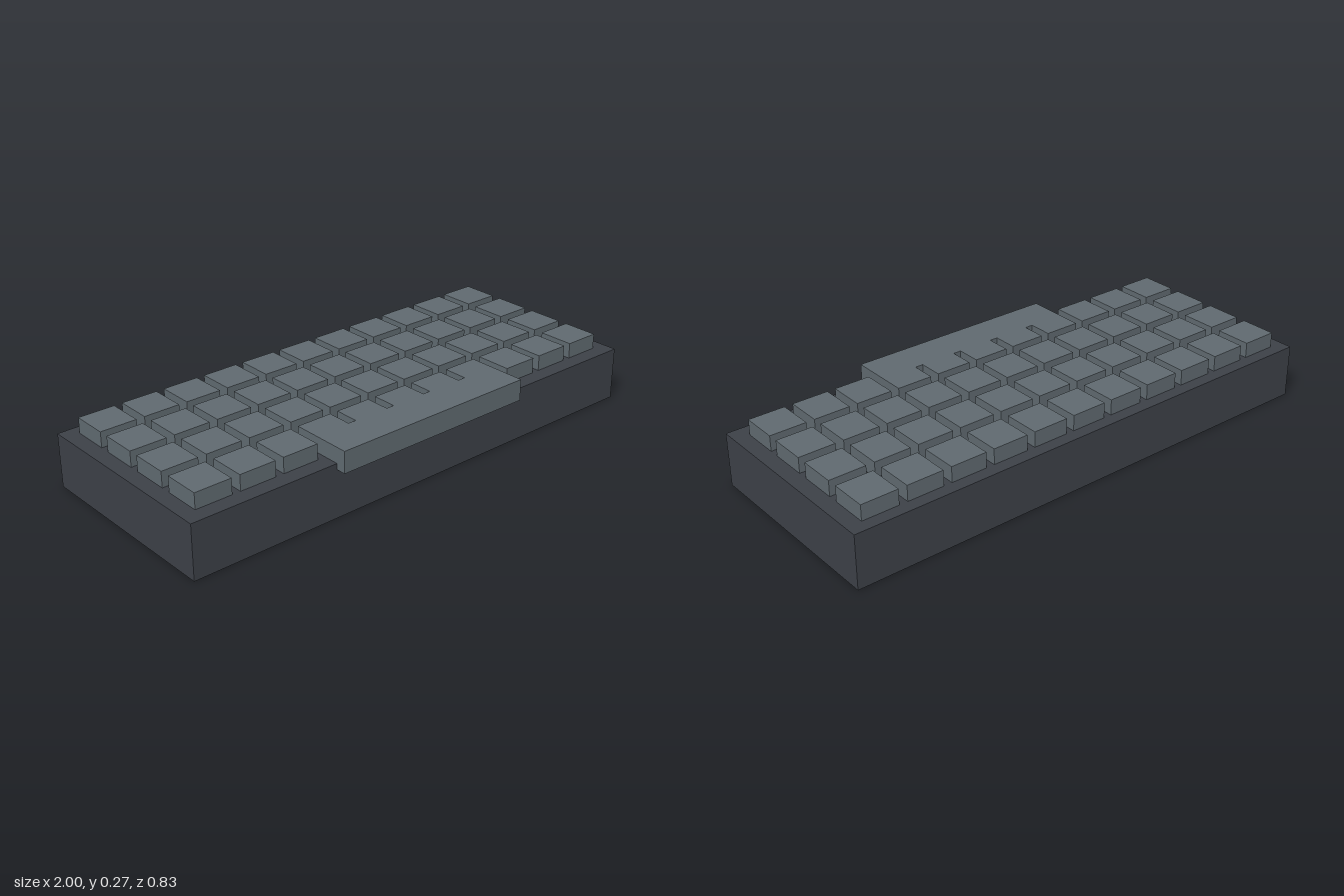
import * as THREE from 'three';

export function createModel() {
  const model = new THREE.Group();
  model.name = 'keyboard';

  const caseMaterial = new THREE.MeshStandardMaterial({ color: 0x3c4047 });
  caseMaterial.name = 'dark slate case';
  const keyMaterial = new THREE.MeshStandardMaterial({ color: 0x5f696f });
  keyMaterial.name = 'grey keys';

  // Box given by its lower and upper limits on each axis
  function addBox(parent, name, material, [x0, x1], [y0, y1], [z0, z1]) {
    const mesh = new THREE.Mesh(new THREE.BoxGeometry(x1 - x0, y1 - y0, z1 - z0), material);
    mesh.position.set((x0 + x1) / 2, (y0 + y1) / 2, (z0 + z1) / 2);
    mesh.name = name;
    parent.add(mesh);
  }

  const caseTop = 0.207, keyTop = 0.267;
  addBox(model, 'case', caseMaterial, [-1, 1], [0, caseTop], [-0.415, 0.377]);

  // Four rows of eleven square keys
  const keys = new THREE.Group();
  keys.name = 'keys';
  model.add(keys);
  const half = 0.071;
  for (let row = 0; row < 4; row++) {
    for (let col = 0; col < 11; col++) {
      const x = (col - 5) * 0.174;
      const z = -0.296 + row * 0.1805;
      addBox(keys, `key${row + 1}_${col + 1}`, keyMaterial,
        [x - half, x + half], [caseTop, keyTop], [z - half, z + half]);
    }
  }

  // Space bar overhanging the front edge and joining the middle keys
  addBox(model, 'spaceBar', keyMaterial, [-0.419, 0.419], [0.184, keyTop], [0.27, 0.415]);

  return model;
}
